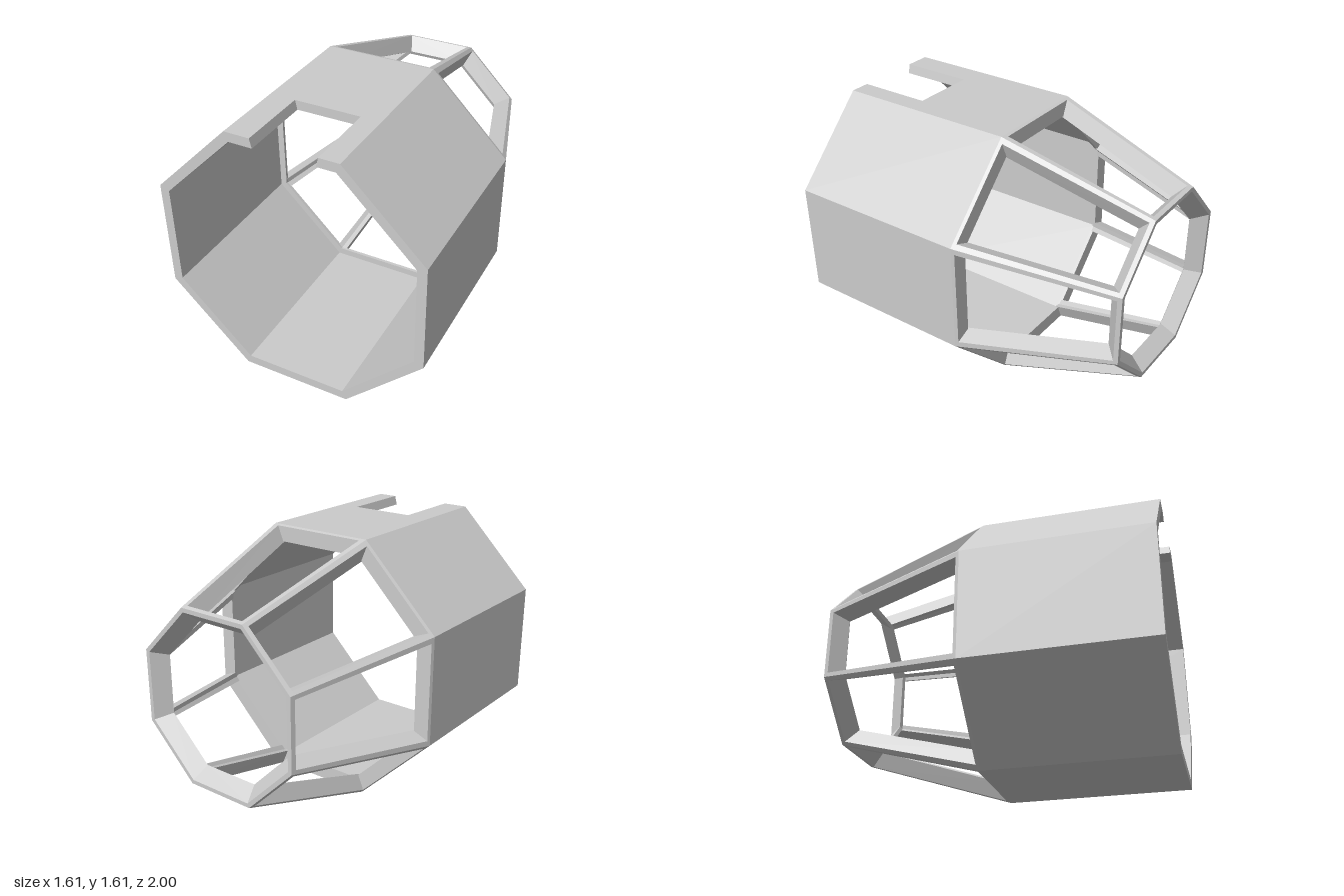
import * as THREE from 'three';

const SIDES = 8;
const HALF = Math.PI / SIDES;
const CENTRE_Y = 0.805;
const OUTER = 0.803, INNER = 0.747; // wall apothems
const FRONT = 1, SHOULDER = -0.1;

// Apothems of the tapered nose cage at depth z
const cageOuter = (z) => OUTER - 0.303 * (SHOULDER - z);
const cageInner = (z) => 0.705 - 0.306 * (SHOULDER - z);

// Octagonal ring swept from a closed counter-clockwise profile of [apothem, z]
function octRing(profile, start = HALF, segments = SIDES) {
  const pts = [...profile, profile[0]].map(([a, z]) => new THREE.Vector2(a / Math.cos(HALF), z));
  return new THREE.LatheGeometry(pts, segments, start, segments * 2 * HALF).rotateX(Math.PI / 2);
}

// Top wall panel with a rectangular notch, mitred towards the axis
function notchedPanel() {
  const w = OUTER * Math.tan(HALF);
  const outline = [
    [-w, -FRONT], [-0.18, -FRONT], [-0.18, -0.56], [0.213, -0.56],
    [0.213, -FRONT], [w, -FRONT], [w, -SHOULDER], [-w, -SHOULDER],
  ];
  const shape = new THREE.Shape(outline.map(([x, y]) => new THREE.Vector2(x, y)));
  const geo = new THREE.ExtrudeGeometry(shape, { depth: OUTER - INNER, bevelEnabled: false });
  geo.rotateX(-Math.PI / 2).translate(0, INNER, 0);
  const p = geo.attributes.position;
  for (let i = 0; i < p.count; i++) p.setX(i, p.getX(i) * p.getY(i) / OUTER);
  geo.computeVertexNormals();
  return geo;
}

// Hexagonal strut section folded around one cage corner
function strutSection(zOut, zIn, margin) {
  const ro = cageOuter(zOut) / Math.cos(HALF), ri = cageInner(zIn) / Math.cos(HALF);
  const dr = margin * Math.sin(HALF), dt = margin * Math.cos(HALF);
  return [
    [ro, 0, zOut], [ro - dr, dt, zOut], [ri - dr, dt, zIn],
    [ri, 0, zIn], [ri - dr, -dt, zIn], [ro - dr, -dt, zOut],
  ];
}

function strutGeometry() {
  const a = strutSection(-0.11, -0.11, 0.033);
  const b = strutSection(-0.98, -0.905, 0.025);
  const pos = [];
  for (let i = 0; i < 6; i++) {
    const j = (i + 1) % 6;
    for (const v of [a[i], b[i], b[j], a[i], b[j], a[j]]) pos.push(...v);
  }
  const geo = new THREE.BufferGeometry();
  geo.setAttribute('position', new THREE.Float32BufferAttribute(pos, 3));
  geo.computeVertexNormals();
  return geo;
}

export function createModel() {
  const model = new THREE.Group();
  model.name = 'octagonalCabin';
  const material = new THREE.MeshStandardMaterial({ color: 0xcccccc, flatShading: true });
  const add = (parent, name, geometry) => {
    const mesh = new THREE.Mesh(geometry, material);
    mesh.name = name;
    parent.add(mesh);
    return mesh;
  };

  const body = new THREE.Group();
  body.name = 'body';
  body.position.y = CENTRE_Y;
  model.add(body);

  // Hull: seven plain panels and the notched top one
  add(body, 'hullWalls', octRing(
    [[INNER, SHOULDER], [OUTER, SHOULDER], [OUTER, FRONT], [INNER, FRONT]],
    Math.PI + HALF, SIDES - 1));
  add(body, 'notchedTopPanel', notchedPanel());

  // Flange where the cage meets the hull
  add(body, 'shoulderFlange', octRing(
    [[0.705, -0.1], [0.705, -0.12], [0.797, -0.12], [OUTER, -0.1]]));

  // Bevelled end ring around the rear opening
  add(body, 'rearRing', octRing(
    [[0.46, -0.9], [0.437, -0.91], [0.505, -1], [0.53, -1], [0.538, -0.975]]));

  // Struts along the corners of the cage
  const cage = new THREE.Group();
  cage.name = 'windowStruts';
  body.add(cage);
  const strut = strutGeometry();
  for (let i = 0; i < SIDES; i++) {
    add(cage, 'strut' + (i + 1), strut).rotation.z = HALF * (2 * i + 1);
  }
  return model;
}
